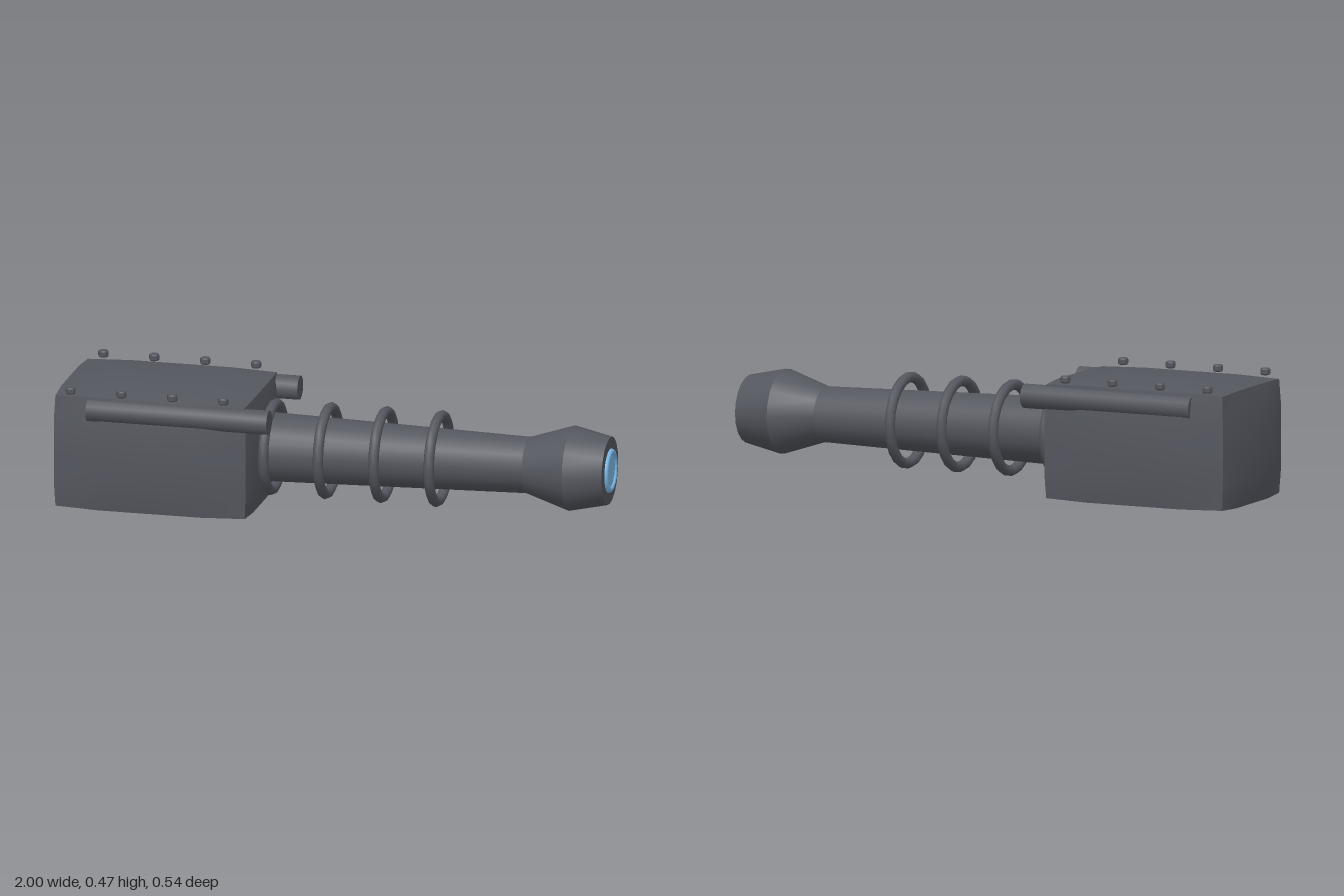
import * as THREE from 'three';
import { toCreasedNormals } from 'three/addons/utils/BufferGeometryUtils.js';

const AXIS_Y = 0.226;
const dark = new THREE.MeshStandardMaterial({ color: 0x55575f });
const blue = new THREE.MeshStandardMaterial({ color: 0x7ab8e6 });

// Revolve [x, radius] pairs around the long axis
function turned(profile, sides) {
  const points = profile.map(([x, r]) => new THREE.Vector2(r, x));
  const geo = new THREE.LatheGeometry(points, sides).rotateZ(-Math.PI / 2);
  return toCreasedNormals(geo, 0.5);
}

// Box whose edges and corners are pulled in, leaving gently bulged faces
function bulgedBox(w, h, d) {
  const geo = new THREE.BoxGeometry(w, h, d, 4, 4, 4);
  const pos = geo.attributes.position;
  const half = [w / 2, h / 2, d / 2];
  for (let i = 0; i < pos.count; i++) {
    const p = [pos.getX(i), pos.getY(i), pos.getZ(i)];
    const outer = p.map((v, k) => Math.abs(v) > half[k] - 1e-4);
    const count = outer.filter(Boolean).length;
    const inset = [0, 0, 0.017, 0.022][count];
    const q = p.map((v, k) => (outer[k] ? v - Math.sign(v) * inset : v));
    pos.setXYZ(i, ...q);
  }
  return toCreasedNormals(geo, 0.5);
}

export function createModel() {
  const model = new THREE.Group();
  const add = (name, geo, x, y, z, material = dark) => {
    const mesh = new THREE.Mesh(geo, material);
    mesh.name = name;
    mesh.position.set(x, y, z);
    model.add(mesh);
    return mesh;
  };

  // Main housing
  add('body', bulgedBox(0.735, 0.452, 0.512), -0.6325, AXIS_Y, 0);

  // Tapered barrel and flared muzzle
  add('barrel', turned([[-0.3, 0], [-0.3, 0.124], [0.7, 0.1], [0.7, 0]], 20), 0, AXIS_Y, 0);
  add('muzzle', turned([[0.69, 0], [0.69, 0.1], [0.85, 0.152], [0.988, 0.122], [0.988, 0]], 20), 0, AXIS_Y, 0);

  // Glowing lens with its rim
  add('lens', turned([[0.95, 0.07], [0.992, 0.07], [0.992, 0]], 20), 0, AXIS_Y, 0, blue);
  const rim = new THREE.TorusGeometry(0.068, 0.012, 8, 20).rotateY(Math.PI / 2);
  add('lensRim', rim, 0.988, AXIS_Y, 0, blue);

  // Coil rings floating round the barrel
  const ring = new THREE.TorusGeometry(0.154, 0.019, 8, 20).rotateY(Math.PI / 2);
  for (const x of [-0.24, -0.04, 0.163, 0.365]) add('coilRing', ring, x, AXIS_Y, 0);

  // Side pipes and rows of studs, mirrored
  const pipe = toCreasedNormals(new THREE.CylinderGeometry(0.044, 0.044, 0.66, 12).rotateZ(-Math.PI / 2), 0.6);
  const studProfile = [[0, -0.012], [0.015, -0.012], [0.019, -0.007], [0.019, 0.007], [0.015, 0.012], [0, 0.012]];
  const stud = toCreasedNormals(
    new THREE.LatheGeometry(studProfile.map(([r, y]) => new THREE.Vector2(r, y)), 8), 0.9);
  for (const side of [-1, 1]) {
    add('sidePipe', pipe, -0.53, 0.382, side * 0.225);
    for (let i = 0; i < 4; i++) add('stud', stud, -0.922 + i * 0.186, 0.453, side * 0.238);
  }
  return model;
}
